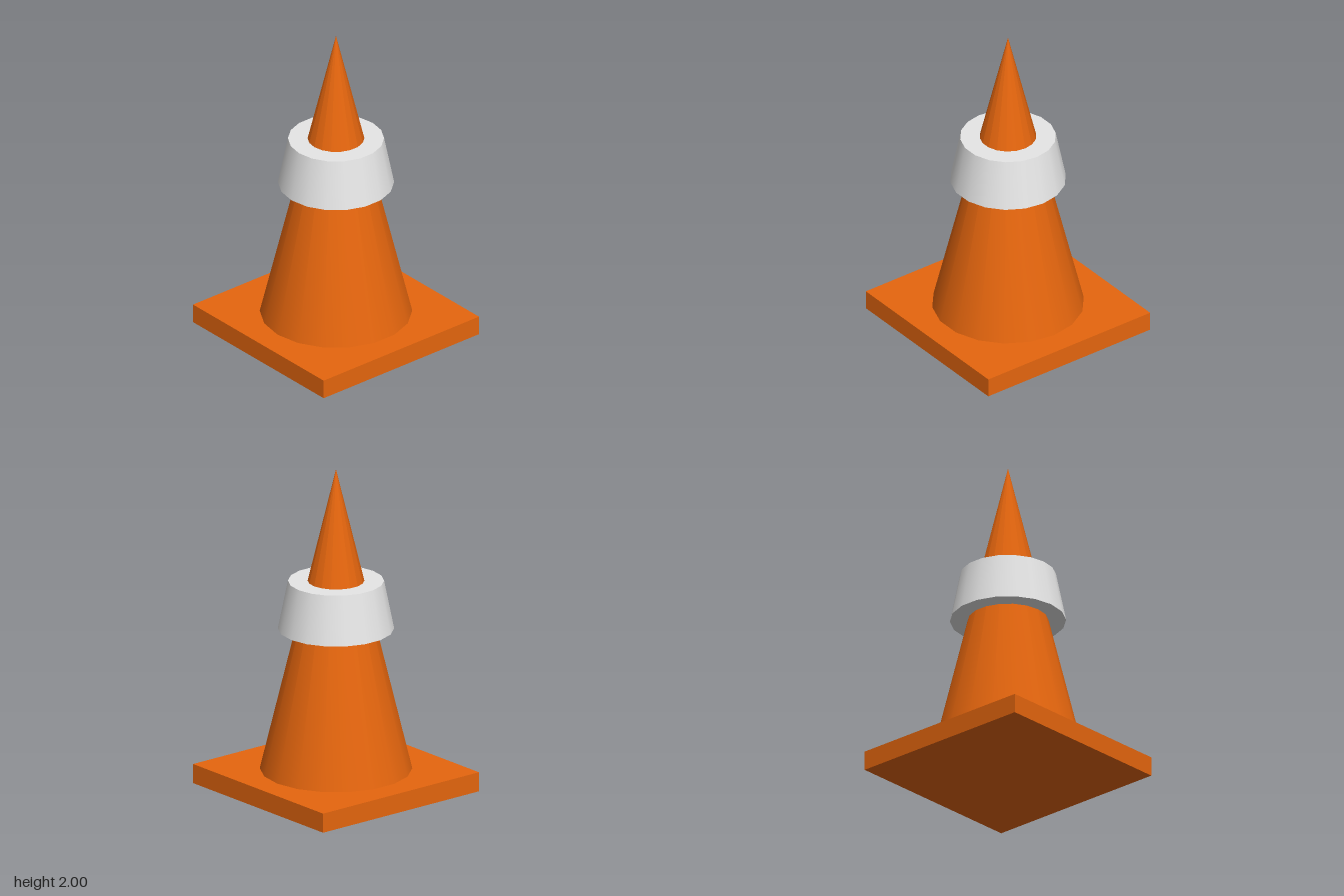
import * as THREE from 'three';

const SIDES = 18;

export function createModel() {
  const model = new THREE.Group();
  const orange = new THREE.MeshStandardMaterial({ color: 0xe6660e });
  orange.name = 'orange';
  const white = new THREE.MeshStandardMaterial({ color: 0xe6e6e6 });
  white.name = 'white';

  // Adds a part standing on the given height
  const add = (name, geometry, material, bottom, height) => {
    const mesh = new THREE.Mesh(geometry, material);
    mesh.name = name;
    mesh.position.y = bottom + height / 2;
    model.add(mesh);
  };

  // Square foot plate
  add('base', new THREE.BoxGeometry(1.21, 0.12, 1.21), orange, 0, 0.12);

  // Pointed body, running through the collar to the tip
  add('cone', new THREE.ConeGeometry(0.455, 1.88, SIDES), orange, 0.12, 1.88);

  // Tapered band around the body
  add('collar', new THREE.CylinderGeometry(0.287, 0.347, 0.3, SIDES), white, 1.0, 0.3);

  return model;
}
